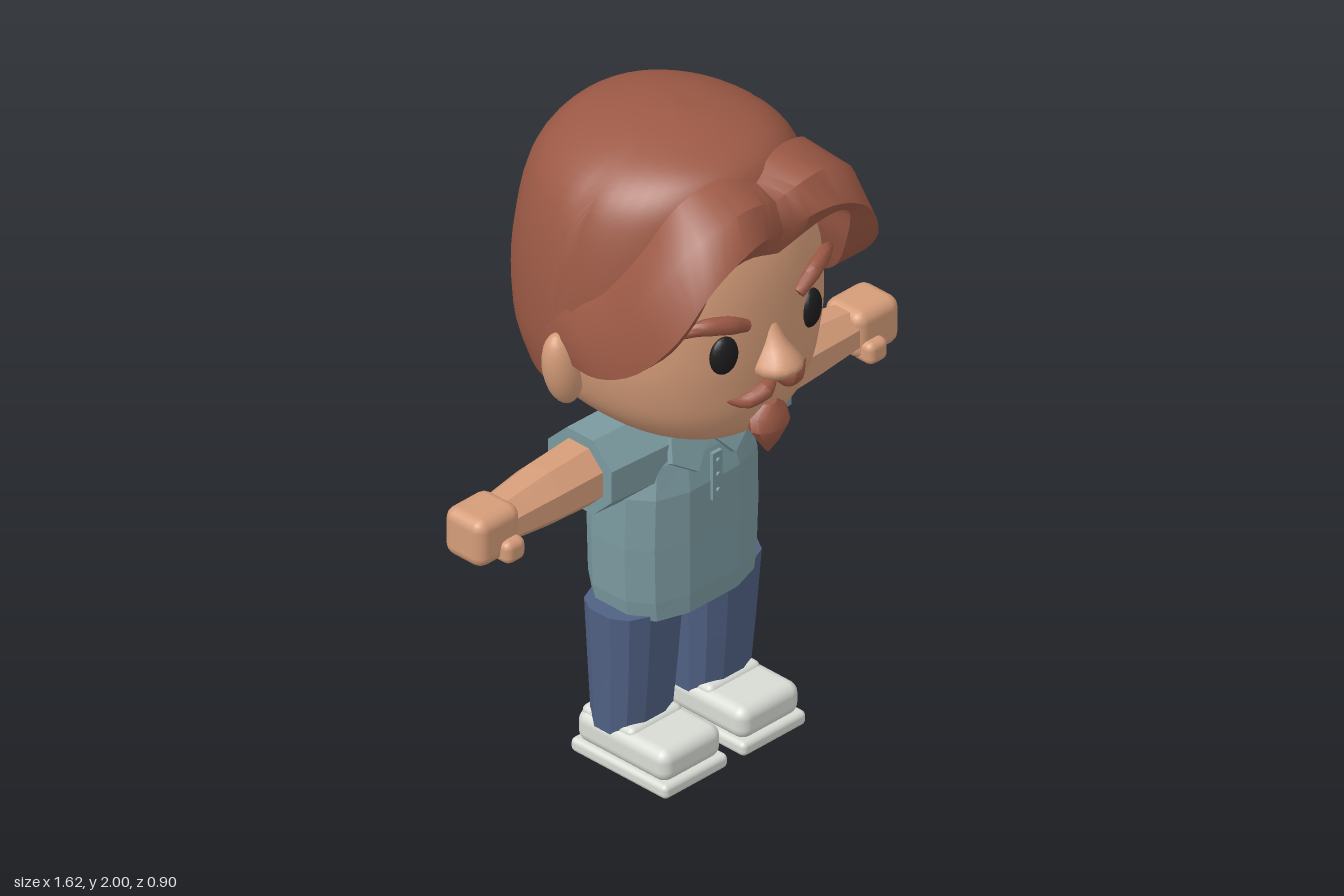
import * as THREE from 'three';
import { toCreasedNormals } from 'three/addons/utils/BufferGeometryUtils.js';
import { RoundedBoxGeometry } from 'three/addons/geometries/RoundedBoxGeometry.js';

const V = (x, y, z) => new THREE.Vector3(x, y, z);
const FLAT = 0.01, SOFT = 0.7;

const material = (name, color) => {
  const m = new THREE.MeshStandardMaterial({ color });
  m.name = name;
  return m;
};

// Closed skin over a list of equal-sized rings; the winding is set from the signed volume
function skin(rings, crease) {
  const n = rings[0].length, pts = rings.flat(), tris = [];
  const centre = ring => ring.reduce((s, p) => s.add(p), V(0, 0, 0)).divideScalar(n);
  const first = pts.length, last = first + 1;
  const all = [...pts, centre(rings[0]), centre(rings[rings.length - 1])];
  for (let j = 0; j < n; j++) {
    const k = (j + 1) % n, top = (rings.length - 1) * n;
    for (let i = 0; i < rings.length - 1; i++) {
      const a = i * n + j, b = i * n + k;
      tris.push([a, b, b + n], [a, b + n, a + n]);
    }
    tris.push([first, k, j], [last, top + j, top + k]);
  }
  let volume = 0;
  for (const [a, b, c] of tris) volume += all[a].dot(all[b].clone().cross(all[c]));
  const index = tris.flatMap(([a, b, c]) => (volume < 0 ? [a, c, b] : [a, b, c]));
  const geo = new THREE.BufferGeometry().setFromPoints(all);
  geo.setIndex(index);
  return toCreasedNormals(geo, crease);
}

// Smooth curve through every column of points, resampled to more rings
function smooth(rings, count) {
  const cols = rings[0].map((_, j) => new THREE.CatmullRomCurve3(rings.map(r => r[j])).getPoints(count));
  return cols[0].map((_, i) => cols.map(c => c[i]));
}

// Horizontal superellipse rings from rows of [y, halfWidth, zFront, zBack]
const spow = (v, e) => Math.sign(v) * Math.abs(v) ** e;
function rows(table, sides, power = 2, cx = 0, offset = 0) {
  return table.map(([y, hx, zf, zb]) => Array.from({ length: sides }, (_, j) => {
    const a = (j + offset) / sides * Math.PI * 2, e = 2 / power;
    return V(cx + hx * spow(Math.sin(a), e), y, (zf + zb) / 2 + (zf - zb) / 2 * spow(Math.cos(a), e));
  }));
}

// Octagonal limb along x from rows of [x, yCentre, yRadius, zCentre, zRadius]
const limb = (table, s) => skin(table.map(([x, cy, ry, cz, rz]) => Array.from({ length: 8 }, (_, j) => {
  const a = (j + 0.5) / 8 * Math.PI * 2;
  return V(s * x, cy + ry * Math.cos(a) / 0.924, cz + rz * Math.sin(a) / 0.924);
})), FLAT);

// Tapered strand lying roughly in the xy plane
function strand(path, radii, depth) {
  const curve = new THREE.CatmullRomCurve3(path), N = 12;
  const rings = Array.from({ length: N + 1 }, (_, i) => {
    const u = i / N, p = curve.getPoint(u), t = curve.getTangent(u);
    const f = u * (radii.length - 1), k = Math.min(Math.floor(f), radii.length - 2);
    const r = THREE.MathUtils.lerp(radii[k], radii[k + 1], f - k);
    const normal = V(-t.y, t.x, 0).normalize();
    return Array.from({ length: 10 }, (_, j) => {
      const a = j / 10 * Math.PI * 2;
      return p.clone().addScaledVector(normal, r * Math.cos(a)).add(V(0, 0, depth * r * Math.sin(a)));
    });
  });
  return skin(rings, SOFT);
}

export function createModel() {
  const model = new THREE.Group();
  model.name = 'figure';
  const skinTone = material('skin', 0xd59c79), hair = material('hair', 0x9c5945);
  const shirt = material('shirt', 0x7b9aa0), denim = material('denim', 0x506184);
  const white = material('shoe white', 0xd8dbd4), black = material('eye black', 0x1c1c1c);
  const add = (name, geo, mat, x = 0, y = 0, z = 0) => {
    const m = new THREE.Mesh(geo, mat);
    m.name = name;
    m.position.set(x, y, z);
    model.add(m);
    return m;
  };

  // Head and neck
  add('head', skin(smooth(rows([
    [1.1, 0.18, 0.25, -0.22], [1.115, 0.22, 0.29, -0.25], [1.15, 0.28, 0.325, -0.29], [1.22, 0.345, 0.35, -0.35],
    [1.3, 0.38, 0.36, -0.38], [1.4, 0.4, 0.365, -0.4], [1.55, 0.395, 0.36, -0.41], [1.65, 0.38, 0.345, -0.4],
    [1.75, 0.35, 0.31, -0.37], [1.87, 0.27, 0.23, -0.3], [1.93, 0.1, 0.1, -0.15],
  ], 40, 2.25), 30), SOFT), skinTone);
  add('neck', new THREE.CylinderGeometry(0.11, 0.11, 0.16, 10), skinTone, 0, 1.06, -0.02);

  // Nose and goatee
  add('nose', skin(smooth(rows([
    [1.318, 0.025, 0.4, 0.3], [1.335, 0.06, 0.43, 0.3], [1.36, 0.071, 0.45, 0.3], [1.39, 0.056, 0.435, 0.3],
    [1.43, 0.034, 0.4, 0.3], [1.5, 0.02, 0.35, 0.3],
  ], 14), 14), SOFT), skinTone);
  add('goatee', skin(rows([
    [1.06, 0.004, 0.345, 0.335], [1.1, 0.035, 0.37, 0.32], [1.15, 0.068, 0.39, 0.3],
    [1.19, 0.064, 0.38, 0.29], [1.222, 0.03, 0.365, 0.29],
  ], 12), SOFT), hair);

  // Hair cap: a dome whose lower edge rises from the nape to the forehead
  const dome = rows([
    [1.25, 0.385, 0.3, -0.388], [1.35, 0.408, 0.33, -0.433], [1.5, 0.415, 0.33, -0.447], [1.65, 0.405, 0.33, -0.437],
    [1.8, 0.37, 0.32, -0.41], [1.88, 0.325, 0.305, -0.37], [1.94, 0.25, 0.265, -0.31],
    [1.982, 0.14, 0.14, -0.2], [2, 0.015, 0.0, -0.03],
  ], 48, 2.1);
  const step = THREE.MathUtils.smoothstep;
  const columns = dome[0].map((_, j) => {
    const curve = new THREE.CatmullRomCurve3(dome.map(r => r[j])), c = Math.cos(j / 48 * Math.PI * 2);
    const low = 1.25 + 0.2 * step(c, 0, 0.12) + 0.3 * step(c, 0.12, 0.8);
    let start = 0;
    while (curve.getPoint(start).y < low) start += 0.004;
    return Array.from({ length: 25 }, (_, i) => curve.getPoint(start + (1 - start) * i / 24));
  });
  add('hairCap', skin(columns[0].map((_, i) => columns.map(c => c[i])), SOFT), hair);

  // Fringe stations from the parting to the ear: upper, crown, bulge, lower, inner corners
  const fringe = [
    [[0, 1.9, 0.29], [0, 1.87, 0.37], [0, 1.79, 0.4], [0, 1.71, 0.38], [0, 1.74, 0.22]],
    [[0.11, 1.94, 0.26], [0.13, 1.91, 0.39], [0.15, 1.82, 0.44], [0.16, 1.77, 0.41], [0.16, 1.8, 0.22]],
    [[0.24, 1.91, 0.24], [0.28, 1.86, 0.36], [0.29, 1.75, 0.43], [0.25, 1.74, 0.4], [0.23, 1.76, 0.18]],
    [[0.335, 1.76, 0.18], [0.395, 1.71, 0.28], [0.385, 1.6, 0.38], [0.29, 1.6, 0.35], [0.25, 1.66, 0.15]],
    [[0.39, 1.62, 0.09], [0.435, 1.56, 0.18], [0.425, 1.46, 0.26], [0.33, 1.47, 0.27], [0.3, 1.54, 0.1]],
    [[0.405, 1.54, -0.02], [0.445, 1.48, 0.04], [0.435, 1.39, 0.12], [0.38, 1.385, 0.14], [0.34, 1.46, 0.02]],
    [[0.405, 1.48, -0.12], [0.42, 1.43, -0.07], [0.415, 1.375, -0.03], [0.395, 1.37, -0.02], [0.37, 1.42, -0.07]],
  ];

  for (const s of [1, -1]) {
    const side = s > 0 ? 'left' : 'right';
    add(side + 'Fringe', skin(smooth(fringe.map(r => r.map(([x, y, z]) => V(s * x, y, z))), 24), 0.8), hair);

    // Ear and eye
    const ear = add(side + 'Ear', new THREE.SphereGeometry(1, 18, 14), skinTone, s * 0.41, 1.345, -0.032);
    ear.scale.set(0.058, 0.12, 0.052);
    ear.rotation.z = -s * 0.22;
    const eye = add(side + 'Eye', new THREE.SphereGeometry(1, 18, 12), black, s * 0.167, 1.44, 0.338);
    eye.scale.set(0.044, 0.059, 0.025);
    eye.rotation.y = s * 0.25;

    // Brows, the left one raised, and moustache
    const lift = s > 0 ? 0.03 : 0;
    add(side + 'Brow', strand([V(s * 0.1, 1.515 + lift * 0.4, 0.36), V(s * 0.16, 1.54 + lift, 0.355),
      V(s * 0.23, 1.552 + lift, 0.33), V(s * 0.29, 1.535 + lift * 0.7, 0.29)], [0.018, 0.027, 0.026, 0.012], 0.9), hair);
    add(side + 'Moustache', strand([V(0, 1.315, 0.365), V(s * 0.045, 1.29, 0.372), V(s * 0.1, 1.27, 0.355),
      V(s * 0.16, 1.288, 0.325)], [0.012, 0.028, 0.022, 0.003], 1), hair);

    // Sleeve, arm, hand and thumb
    add(side + 'Sleeve', limb([[0.13, 0.98, 0.122, -0.025, 0.125], [0.345, 0.985, 0.118, -0.03, 0.12]], s), shirt);
    add(side + 'Arm', limb([[0.3, 0.98, 0.094, -0.035, 0.093], [0.5, 0.98, 0.084, -0.032, 0.084],
      [0.7, 0.98, 0.062, -0.025, 0.064]], s), skinTone);
    add(side + 'Hand', new RoundedBoxGeometry(0.165, 0.15, 0.148, 2, 0.035), skinTone, s * 0.7275, 0.98, -0.022);
    add(side + 'Thumb', new RoundedBoxGeometry(0.074, 0.07, 0.08, 2, 0.022), skinTone, s * 0.695, 0.935, 0.041);

    // Trouser leg
    add(side + 'Leg', skin(rows([[0.1, 0.115, 0.06, -0.115], [0.3, 0.125, 0.08, -0.125], [0.505, 0.137, 0.095, -0.132]],
      12, 2.5, s * 0.15, 0.5), FLAT), denim);

    // Shoe
    const shoe = (name, w, h, d, r, y, z) =>
      add(side + name, new RoundedBoxGeometry(w, h, d, 3, r), white, s * 0.15, y, z);
    shoe('ShoeSole', 0.245, 0.044, 0.364, 0.016, 0.026, 0.04);
    shoe('ShoeUpper', 0.23, 0.1, 0.344, 0.035, 0.09, 0.039);
    shoe('ShoeCuff', 0.2, 0.05, 0.2, 0.02, 0.127, -0.025);

    // Collar flap
    const flap = new THREE.Shape([[0.008, 0.1], [0.012, 0.07], [0.07, 0], [0.15, 0.055], [0.13, 0.12]]
      .map(([x, y]) => new THREE.Vector2(s * x, y)));
    const collar = add(side + 'CollarFlap', new THREE.ExtrudeGeometry(flap, { depth: 0.02, bevelEnabled: false }),
      shirt, 0, 0.93, 0.132);
    collar.rotation.x = -0.4;
  }

  // Shirt body, collar band and placket with buttons
  add('shirtBody', skin(rows([
    [0.49, 0.238, 0.14, -0.178], [0.55, 0.248, 0.143, -0.185], [0.72, 0.255, 0.145, -0.185], [0.88, 0.25, 0.145, -0.178],
    [0.97, 0.225, 0.125, -0.155], [1.06, 0.14, 0.09, -0.125],
  ], 12, 2.8, 0, 0.5), FLAT), shirt);
  add('collarBand', new THREE.CylinderGeometry(0.118, 0.14, 0.07, 12), shirt, 0, 1.04, -0.02);
  add('placket', new THREE.BoxGeometry(0.035, 0.15, 0.012), shirt, 0, 0.895, 0.145);
  for (const y of [0.85, 0.9, 0.945]) {
    add('button', new THREE.CylinderGeometry(0.007, 0.007, 0.008, 8), shirt, 0, y, 0.154).rotation.x = Math.PI / 2;
  }
  return model;
}
